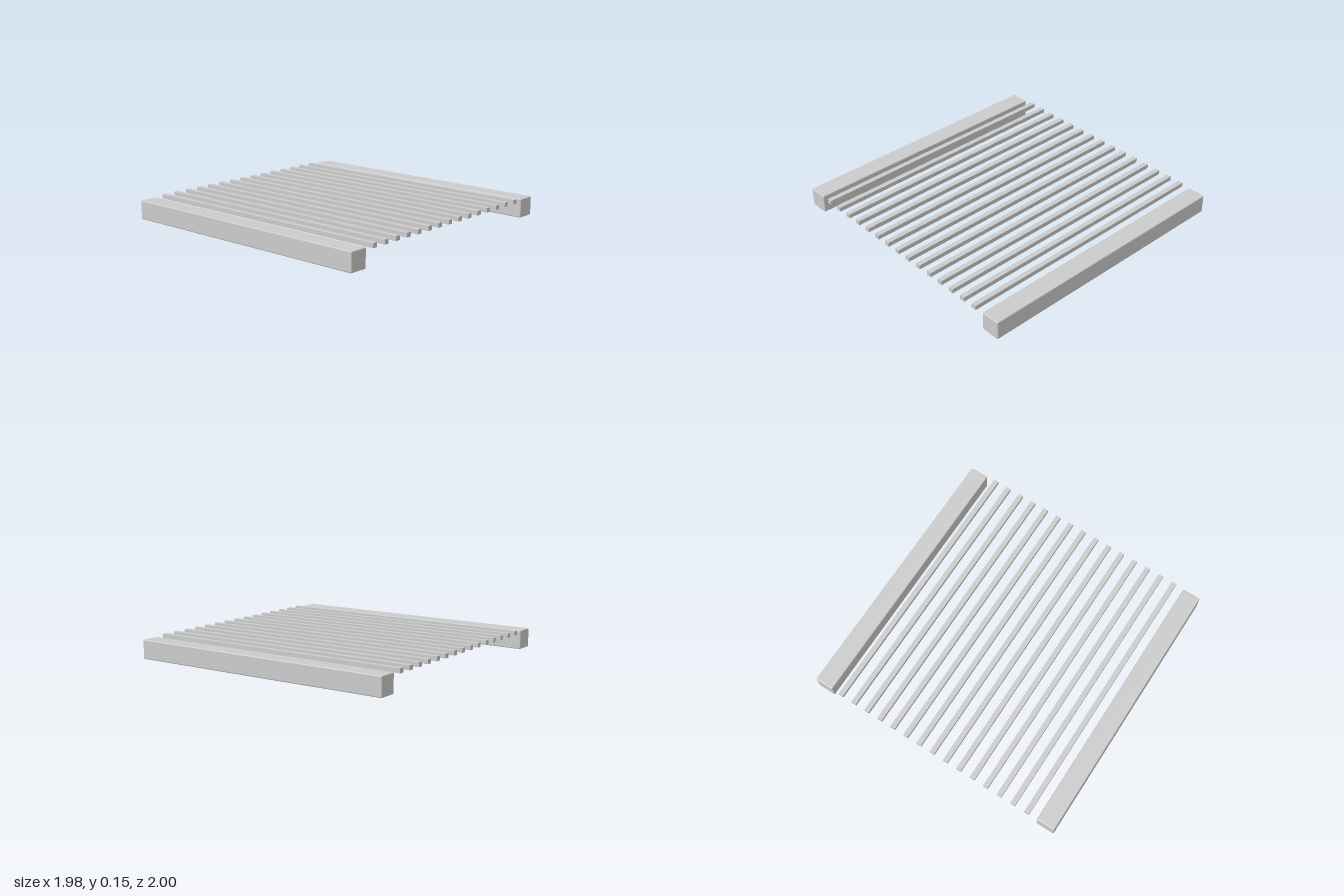
import * as THREE from 'three';
import { RoundedBoxGeometry } from 'three/addons/geometries/RoundedBoxGeometry.js';

export function createModel() {
  const group = new THREE.Group();
  group.name = 'slattedGrate';
  const material = new THREE.MeshStandardMaterial({ color: 0xcccccc });

  const add = (name, geometry, x, y) => {
    const mesh = new THREE.Mesh(geometry, material);
    mesh.name = name;
    mesh.position.set(x, y, 0);
    group.add(mesh);
  };

  // Heavy side beams with softened edges
  const beam = new RoundedBoxGeometry(0.138, 0.138, 1.995, 2, 0.008);
  add('leftBeam', beam, 0.919, 0.07);
  add('rightBeam', beam, -0.919, 0.07);

  // Fifteen evenly spaced slats, slightly proud of the beams
  const slatCount = 15;
  const spacing = 0.11;
  const slat = new THREE.BoxGeometry(0.037, 0.032, 2);
  for (let i = 0; i < slatCount; i++) {
    add(`slat${i + 1}`, slat, (i - (slatCount - 1) / 2) * spacing, 0.134);
  }
  return group;
}
